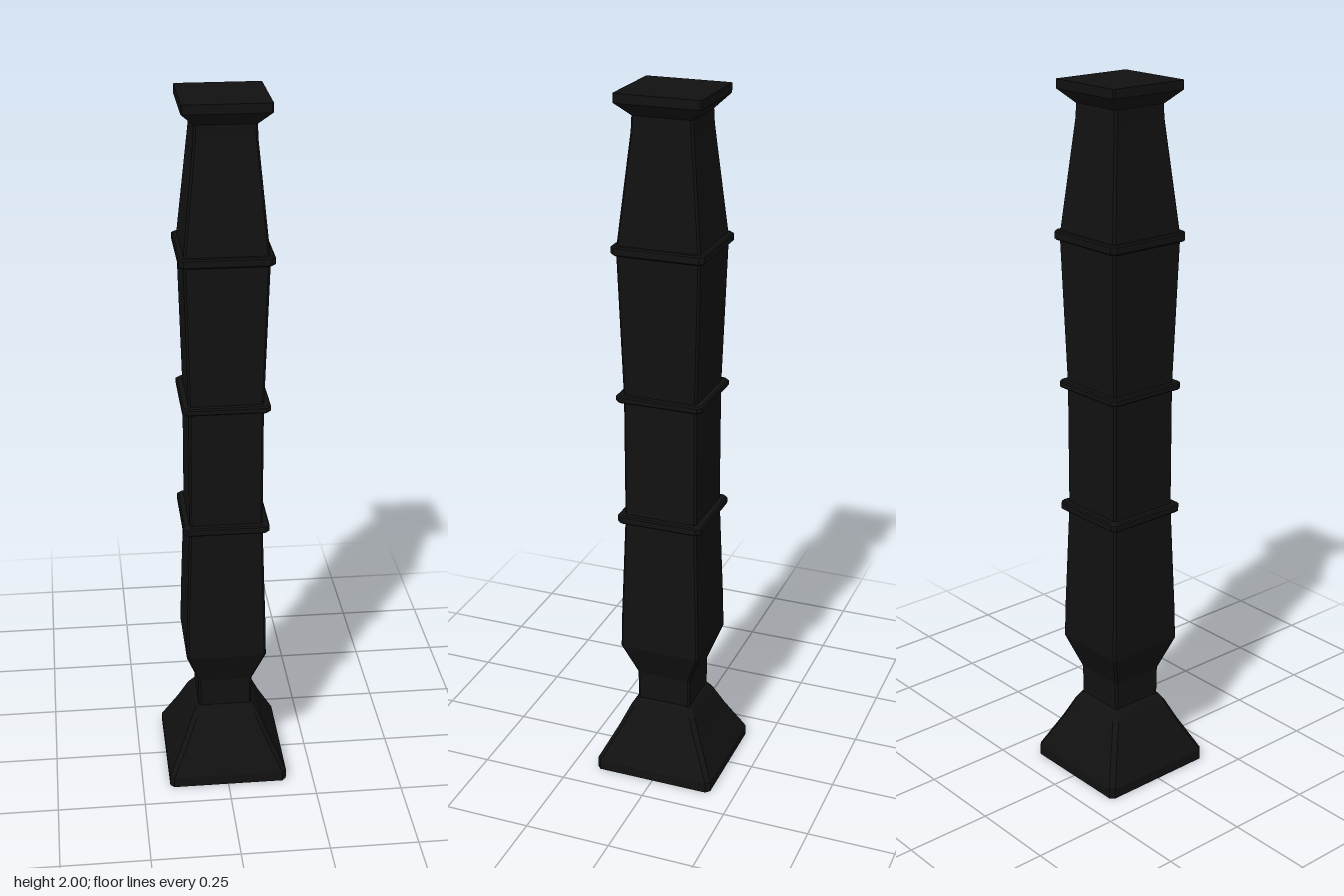
import * as THREE from 'three';

const material = new THREE.MeshStandardMaterial({ color: 0x111111, flatShading: true });
const DEPTH = 1.035; // the post is slightly deeper than wide

// Outline of a square with cut corners, seen from above
function outline(y, half, cut) {
  const x = half, z = half * DEPTH;
  return [
    [x, z - cut], [x, cut - z], [x - cut, -z], [cut - x, -z],
    [-x, cut - z], [-x, z - cut], [cut - x, z], [x - cut, z],
  ].map(([px, pz]) => [px, y, pz]);
}

// Closed solid through a stack of [height, half width] sections
function stack(name, profile, cut) {
  const rings = profile.map(([y, half]) => outline(y, half, cut));
  const pos = [];
  const tri = (a, b, c) => pos.push(...a, ...b, ...c);
  for (let i = 0; i < rings.length - 1; i++) {
    for (let j = 0; j < 8; j++) {
      const k = (j + 1) % 8;
      const [a, b, c, d] = [rings[i][j], rings[i][k], rings[i + 1][k], rings[i + 1][j]];
      tri(a, b, c);
      tri(a, c, d);
    }
  }
  const bottom = rings[0], top = rings[rings.length - 1];
  for (let j = 1; j < 7; j++) {
    tri(bottom[0], bottom[j + 1], bottom[j]);
    tri(top[0], top[j], top[j + 1]);
  }
  const geometry = new THREE.BufferGeometry();
  geometry.setAttribute('position', new THREE.Float32BufferAttribute(pos, 3));
  geometry.computeVertexNormals();
  const mesh = new THREE.Mesh(geometry, material);
  mesh.name = name;
  return mesh;
}

export function createModel() {
  const post = new THREE.Group();
  post.name = 'post';

  // Flared foot
  post.add(stack('base', [
    [0, 0.171], [0.03, 0.171], [0.13, 0.122], [0.19, 0.096], [0.21, 0.083], [0.22, 0.073],
  ], 0.012));

  // Neck, swelling shaft and tapered upper part
  post.add(stack('shaft', [
    [0.21, 0.077], [0.3, 0.078], [0.4, 0.114], [0.5, 0.112], [0.81, 0.102],
    [1.17, 0.102], [1.59, 0.114], [1.62, 0.111], [1.9, 0.083], [1.95, 0.081],
  ], 0.006));

  // Bands around the shaft
  for (const [name, y, half, height] of [
    ['lowerBand', 0.81, 0.12, 0.024],
    ['middleBand', 1.172, 0.12, 0.02],
    ['upperBand', 1.59, 0.126, 0.026],
  ]) {
    const h = height / 2;
    post.add(stack(name, [
      [y - h, half - 0.004], [y - h + 0.004, half], [y + h - 0.004, half], [y + h, half - 0.004],
    ], 0.012));
  }

  // Flared cap
  post.add(stack('cap', [[1.94, 0.082], [1.975, 0.116], [2, 0.116]], 0.004));

  return post;
}
